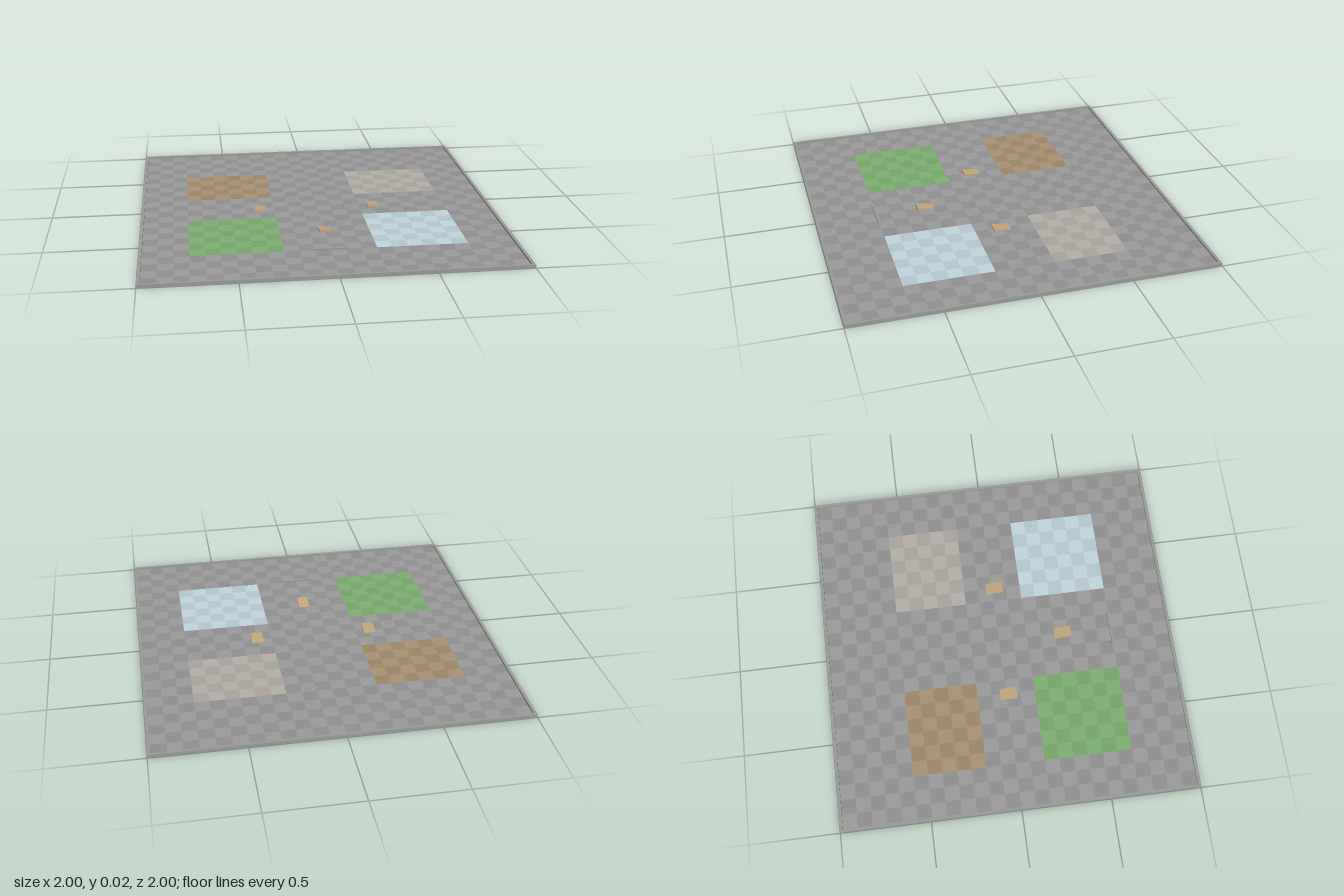
import * as THREE from 'three';
import { mergeGeometries } from 'three/addons/utils/BufferGeometryUtils.js';

const U = 2 / 24.4;      // one floor tile
const N = 24;            // tiles per side
const FLOOR = 0.008;     // slab thickness
const TOP = 0.018;       // wall height
const W = 0.2 * U;       // wall thickness

// Coloured zones in tile units, with a light and a dark checker shade
const zones = [
  { name: 'grassZone', x: [-9, -3], z: [2, 8], colors: [0x7db072, 0x74a669] },
  { name: 'iceZone', x: [3, 9], z: [2, 8], colors: [0xc2d5dd, 0xb5c8d0] },
  { name: 'sandZone', x: [-9, -3], z: [-7, -2], colors: [0xa89274, 0x9d8769] },
  { name: 'gravelZone', x: [3, 9], z: [-7, -2], colors: [0xb4b0a8, 0xa9a59d] },
];
const plain = { name: 'floor', colors: [0x9b9a9b, 0x908f90] };

function createFloor() {
  const floor = new THREE.Group();
  floor.name = 'checkerFloor';
  const buckets = new Map();
  for (let i = 0; i < N; i++) {
    for (let j = 0; j < N; j++) {
      const x = i - N / 2 + 0.5;
      const z = j - N / 2 + 0.5;
      const zone = zones.find(q => x > q.x[0] && x < q.x[1] && z > q.z[0] && z < q.z[1]) ?? plain;
      const shade = (i + j) % 2;
      const key = zone.name + (shade ? 'DarkTiles' : 'LightTiles');
      if (!buckets.has(key)) buckets.set(key, { color: zone.colors[shade], tiles: [] });
      const tile = new THREE.BoxGeometry(U, FLOOR, U);
      tile.translate(x * U, FLOOR / 2, z * U);
      buckets.get(key).tiles.push(tile);
    }
  }
  for (const [name, { color, tiles }] of buckets) {
    const mesh = new THREE.Mesh(mergeGeometries(tiles), new THREE.MeshStandardMaterial({ color }));
    mesh.name = name;
    floor.add(mesh);
  }
  return floor;
}

export function createModel() {
  const model = new THREE.Group();
  model.name = 'arena';
  model.add(createFloor());

  const wallMat = new THREE.MeshStandardMaterial({ color: 0x999999 });
  const rampMat = new THREE.MeshStandardMaterial({ color: 0xc0a67c });

  const addBox = (name, w, y0, y1, d, x, z) => {
    const mesh = new THREE.Mesh(new THREE.BoxGeometry(w, y1 - y0, d), wallMat);
    mesh.position.set(x, (y0 + y1) / 2, z);
    mesh.name = name;
    model.add(mesh);
  };

  // Border walls
  for (const s of [-1, 1]) {
    addBox(s > 0 ? 'frontWall' : 'backWall', 2, 0, TOP, W, 0, s * (1 - W / 2));
    addBox(s > 0 ? 'leftWall' : 'rightWall', W, 0, TOP, 2 - 2 * W, s * (1 - W / 2), 0);
  }

  // Low barrier near the front
  addBox('barrier', 0.2, FLOOR, TOP, W, 0, 8 * U);

  // Wedge ramps rising towards the front
  const addRamp = (name, x, width, z0, z1, height) => {
    const side = new THREE.Shape();
    side.moveTo(-z0, 0);
    side.lineTo(-z1, 0);
    side.lineTo(-z1, height);
    side.closePath();
    const geo = new THREE.ExtrudeGeometry(side, { depth: width, bevelEnabled: false });
    geo.translate(0, 0, -width / 2);
    geo.rotateY(Math.PI / 2);
    const mesh = new THREE.Mesh(geo, rampMat);
    mesh.position.set(x, FLOOR, 0);
    mesh.name = name;
    model.add(mesh);
  };
  addRamp('leftRamp', 4 * U, 0.066, -0.035, 0.062, 0.009);
  addRamp('rightRamp', -4 * U, 0.066, -0.035, 0.062, 0.009);
  addRamp('centreRamp', 0, 0.062, 0.325, 0.42, 0.016);

  return model;
}
